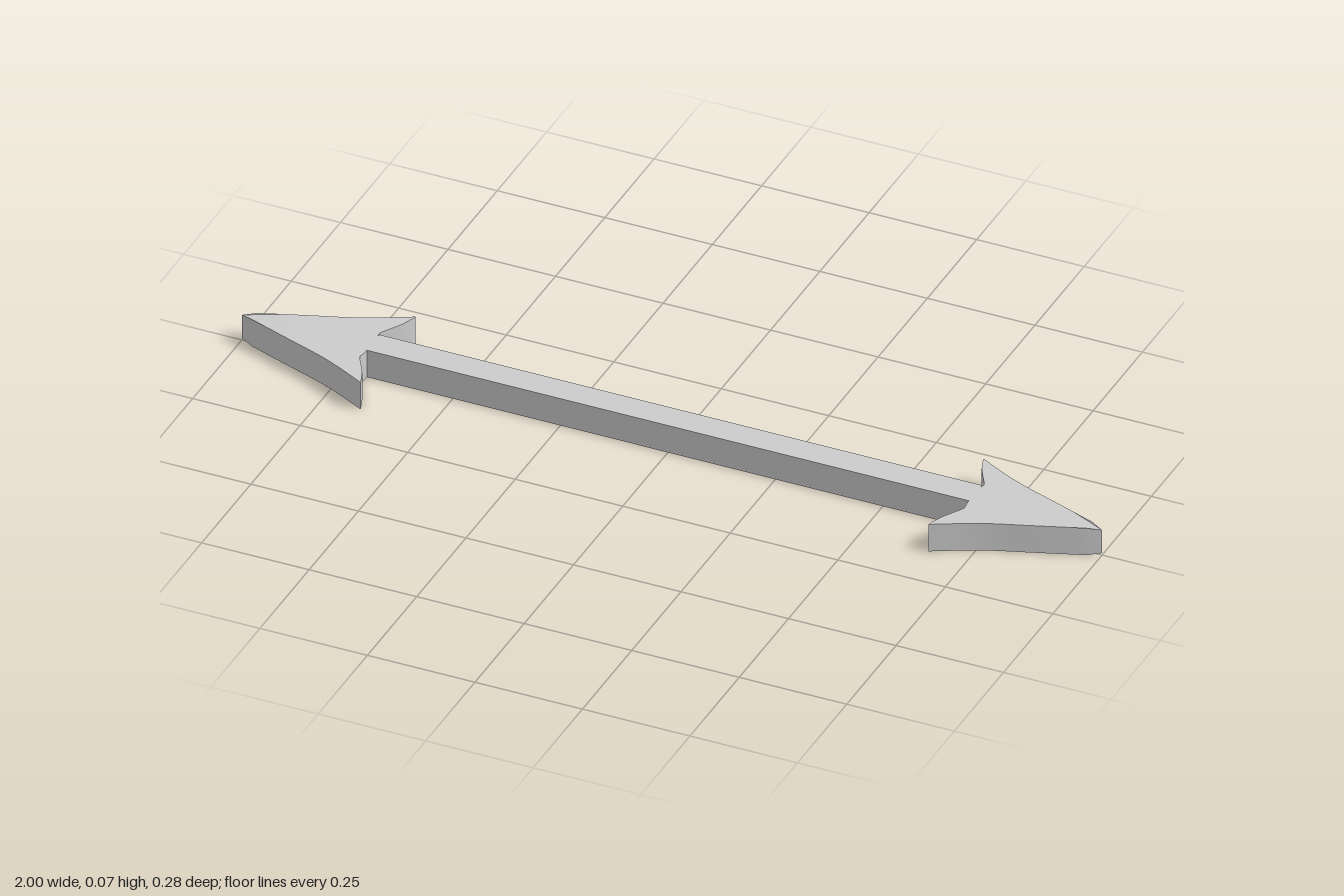
import * as THREE from 'three';
import { toCreasedNormals } from 'three/addons/utils/BufferGeometryUtils.js';

const HEIGHT = 0.068;
const material = new THREE.MeshStandardMaterial({ color: 0xcccccc });

// Barbed arrowhead pointing to +x, symmetric about its axis
function arrowheadGeometry() {
  const curve = (pts, n) =>
    new THREE.SplineCurve(pts.map(([x, y]) => new THREE.Vector2(x, y))).getPoints(n);
  const outer = curve([[0.97, 0.014], [0.87, 0.05], [0.76, 0.09], [0.66, 0.14]], 10);
  const inner = curve([[0.66, 0.14], [0.672, 0.105], [0.693, 0.068], [0.703, 0.05], [0.7, 0.035]], 8);
  const half = [...outer, ...inner.slice(1)];
  const mirrored = half.map((p) => new THREE.Vector2(p.x, -p.y)).reverse();
  const outline = [new THREE.Vector2(1, 0), ...half, ...mirrored];

  const geo = new THREE.ExtrudeGeometry(new THREE.Shape(outline), {
    depth: HEIGHT, bevelEnabled: false,
  });
  geo.rotateX(-Math.PI / 2);

  // The very tip is slightly thinner than the rest
  const pos = geo.attributes.position;
  for (let i = 0; i < pos.count; i++) {
    if (pos.getX(i) > 0.99) pos.setY(i, pos.getY(i) > HEIGHT / 2 ? HEIGHT - 0.005 : 0.005);
  }
  return toCreasedNormals(geo, 0.5);
}

export function createModel() {
  const model = new THREE.Group();
  model.name = 'doubleArrow';

  // Straight bar, set a little towards the back
  const back = -0.045, front = 0.021;
  const shaft = new THREE.Mesh(new THREE.BoxGeometry(1.402, HEIGHT, front - back), material);
  shaft.name = 'shaft';
  shaft.position.set(0, HEIGHT / 2, (front + back) / 2);
  model.add(shaft);

  // One head at each end
  const headGeometry = arrowheadGeometry();
  for (const [name, turn] of [['leftArrowhead', 0], ['rightArrowhead', Math.PI]]) {
    const head = new THREE.Mesh(headGeometry, material);
    head.name = name;
    head.rotation.y = turn;
    model.add(head);
  }
  return model;
}
